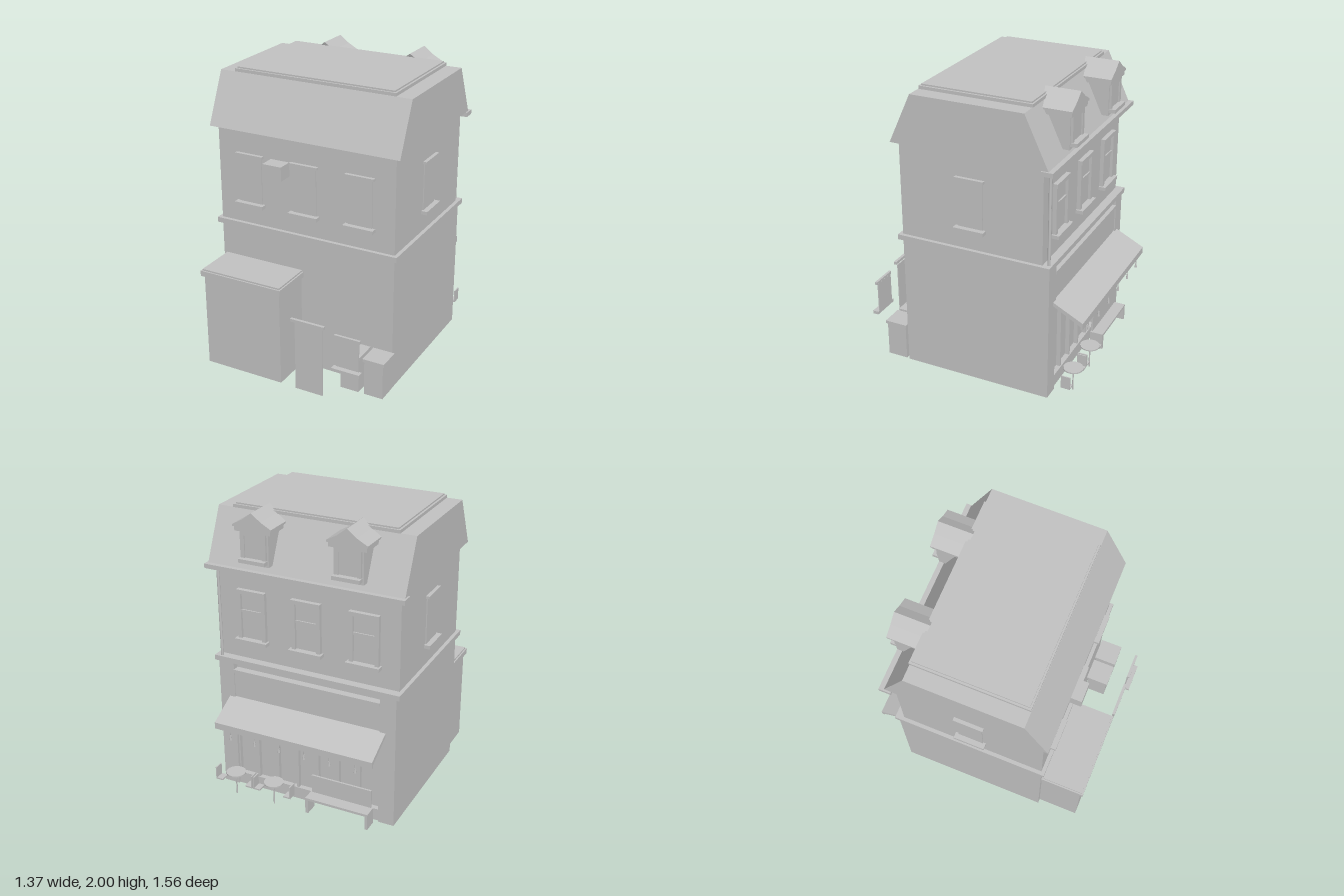
import * as THREE from 'three';

export function createModel() {
  const model = new THREE.Group();
  model.name = 'cornerCafeBuilding';
  const grey = new THREE.MeshStandardMaterial({ color: 0xc0c0c0 });
  grey.name = 'plain grey';

  const add = (name, geometry, parent = model) => {
    const mesh = new THREE.Mesh(geometry, grey);
    mesh.name = name;
    parent.add(mesh);
    return mesh;
  };
  // box given by its extents on each axis
  const box = (name, x0, x1, y0, y1, z0, z1, parent = model) => {
    const g = new THREE.BoxGeometry(x1 - x0, y1 - y0, z1 - z0);
    g.translate((x0 + x1) / 2, (y0 + y1) / 2, (z0 + z1) / 2);
    return add(name, g, parent);
  };
  const cylinder = (name, r, x, y0, y1, z, sides = 12, rTop = r) => {
    const g = new THREE.CylinderGeometry(rTop, r, y1 - y0, sides);
    g.translate(x, (y0 + y1) / 2, z);
    return add(name, g);
  };
  // side profile in (z, y) pulled along x
  const pullX = (name, points, x0, x1) => {
    const shape = new THREE.Shape(points.map(([z, y]) => new THREE.Vector2(-z, y)));
    const g = new THREE.ExtrudeGeometry(shape, { depth: x1 - x0, bevelEnabled: false });
    g.rotateY(Math.PI / 2);
    g.translate(x0, 0, 0);
    return add(name, g);
  };

  // main walls and string course
  box('walls', -0.635, 0.635, 0, 1.61, -0.53, 0.455);
  box('stringCourse', -0.66, 0.66, 0.93, 0.965, -0.587, 0.48);

  // mansard roof, cap and rear cornice
  pullX('mansardRoof', [[0.495, 1.61], [0.34, 1.945], [-0.42, 1.945], [-0.577, 1.61]], -0.675, 0.675);
  box('roofCap', -0.57, 0.567, 1.945, 1.966, -0.425, 0.338);
  box('roofCapTop', -0.556, 0.553, 1.966, 1.976, -0.413, 0.326);
  box('cornice', -0.686, 0.686, 1.58, 1.61, -0.61, -0.53);

  // windows on the plain walls, built facing +z and turned into place
  const plainWindow = (x, z, turn) => {
    const g = new THREE.Group();
    g.name = 'plainWindow';
    box('pane', -0.085, 0.085, 1.115, 1.435, 0, 0.007, g);
    box('lintel', -0.1, 0.1, 1.435, 1.452, 0, 0.024, g);
    box('sill', -0.105, 0.105, 1.092, 1.116, 0, 0.042, g);
    g.position.set(x, 0, z);
    g.rotation.y = turn;
    model.add(g);
  };
  for (const x of [-0.4, 0, 0.395]) plainWindow(x, 0.455, 0);
  plainWindow(0.635, -0.04, Math.PI / 2);
  plainWindow(-0.635, -0.04, -Math.PI / 2);

  // framed sash windows on the street side
  for (const x of [-0.4, 0, 0.39]) {
    box('sashPane', x - 0.09, x + 0.09, 1.11, 1.44, -0.537, -0.53);
    for (const s of [-1, 1]) box('sashJamb', x + s * 0.088 - 0.014, x + s * 0.088 + 0.014, 1.11, 1.45, -0.556, -0.53);
    box('sashHead', x - 0.102, x + 0.102, 1.425, 1.452, -0.56, -0.53);
    box('sashRail', x - 0.08, x + 0.08, 1.295, 1.312, -0.546, -0.53);
    box('sashSill', x - 0.115, x + 0.115, 1.09, 1.114, -0.58, -0.53);
  }
  cylinder('drainpipe', 0.01, 0.615, 0.965, 1.58, -0.565, 10);

  // dormers with flared gable roofs
  for (const x of [-0.32, 0.32]) {
    box('dormerBody', x - 0.1, x + 0.1, 1.655, 1.88, -0.6, -0.43);
    box('dormerPane', x - 0.062, x + 0.062, 1.7, 1.85, -0.606, -0.6);
    for (const s of [-1, 1]) box('dormerJamb', x + s * 0.075 - 0.013, x + s * 0.075 + 0.013, 1.695, 1.865, -0.615, -0.6);
    box('dormerHead', x - 0.088, x + 0.088, 1.845, 1.87, -0.615, -0.6);
    box('dormerSill', x - 0.092, x + 0.092, 1.675, 1.7, -0.645, -0.6);
    box('dormerEaves', x - 0.125, x + 0.125, 1.87, 1.91, -0.618, -0.44);
    const gable = new THREE.Shape([[-0.135, 1.9], [0.135, 1.9], [0.135, 1.912], [0.065, 1.95], [0, 2],
      [-0.065, 1.95], [-0.135, 1.912]].map(([a, b]) => new THREE.Vector2(a, b)));
    const roof = new THREE.ExtrudeGeometry(gable, { depth: 0.2, bevelEnabled: false });
    roof.translate(x, 0, -0.625);
    // the ridge runs further back than the eaves
    const p = roof.attributes.position;
    for (let i = 0; i < p.count; i++) if (p.getZ(i) > -0.5 && p.getY(i) > 1.94) p.setZ(i, p.getY(i) > 1.98 ? -0.392 : -0.41);
    roof.computeVertexNormals();
    add('dormerRoof', roof);
  }

  // rear extension and wall unit
  box('extension', -0.605, -0.035, 0, 0.66, 0.45, 0.737);
  box('extensionRoof', -0.622, -0.018, 0.657, 0.695, 0.45, 0.757);
  box('extensionRoofTop', -0.612, -0.028, 0.695, 0.706, 0.45, 0.747);
  box('wallUnit', -0.245, -0.11, 1.35, 1.445, 0.45, 0.557);

  // yard door and yard window
  box('yardDoor', 0.08, 0.28, 0, 0.49, 0.737, 0.744);
  box('yardDoorLintel', 0.055, 0.298, 0.498, 0.518, 0.738, 0.758);
  box('yardWindow', 0.38, 0.54, 0.25, 0.47, 0.737, 0.744);
  box('yardWindowLintel', 0.37, 0.552, 0.465, 0.485, 0.738, 0.755);
  box('yardWindowSill', 0.362, 0.56, 0.235, 0.257, 0.738, 0.779);

  // bins
  for (const x of [0.405, 0.577]) {
    box('bin', x - 0.066, x + 0.066, 0.01, 0.252, 0.468, 0.608);
    box('binLid', x - 0.076, x + 0.076, 0.252, 0.273, 0.458, 0.616);
  }

  // shopfront
  for (const s of [-1, 1]) box('pilaster', s * 0.58 - 0.055, s * 0.58 + 0.055, 0, 0.93, -0.577, -0.5);
  box('stallRiser', -0.525, 0.525, 0, 0.085, -0.565, -0.53);
  box('fascia', -0.525, 0.525, 0.69, 0.86, -0.57, -0.53);
  box('fasciaMoulding', -0.525, 0.525, 0.86, 0.88, -0.58, -0.53);
  box('shopHead', -0.525, 0.525, 0.63, 0.69, -0.56, -0.53);
  for (let i = 0; i < 8; i++) {
    const x = -0.525 + i * 0.15;
    box('mullion', x - 0.009, x + 0.009, 0.085, 0.63, -0.558, -0.53);
  }

  // awning with hanging lamps
  pullX('awning', [[-0.57, 0.68], [-0.57, 0.655], [-0.765, 0.548], [-0.765, 0.53], [-0.779, 0.53], [-0.779, 0.575]], -0.567, 0.565);
  for (let i = 0; i < 6; i++) {
    const x = -0.45 + i * 0.18;
    cylinder('lampRod', 0.003, x, 0.5, 0.545, -0.773, 6);
    cylinder('lampShade', 0.009, x, 0.47, 0.505, -0.773, 8, 0.004);
  }

  // bench
  box('benchBack', -0.49, -0.06, 0.12, 0.248, -0.615, -0.602);
  box('benchSeat', -0.5, -0.05, 0.098, 0.115, -0.692, -0.6);
  for (const x of [-0.49, -0.06]) box('benchEnd', x - 0.01, x + 0.01, 0, 0.11, -0.692, -0.6);

  // tables, each with a pair of chairs facing it
  for (const x of [0.475, 0.185]) {
    cylinder('tableTop', 0.066, x, 0.163, 0.172, -0.69, 20);
    cylinder('tablePole', 0.005, x, 0, 0.165, -0.69, 8);
    for (const s of [-1, 1]) {
      const c = x + s * 0.115;
      box('chairSeat', c - 0.026, c + 0.026, 0.095, 0.105, -0.725, -0.662);
      box('chairBack', c + s * 0.022 - 0.004, c + s * 0.022 + 0.004, 0.095, 0.185, -0.725, -0.662);
    }
  }
  return model;
}
